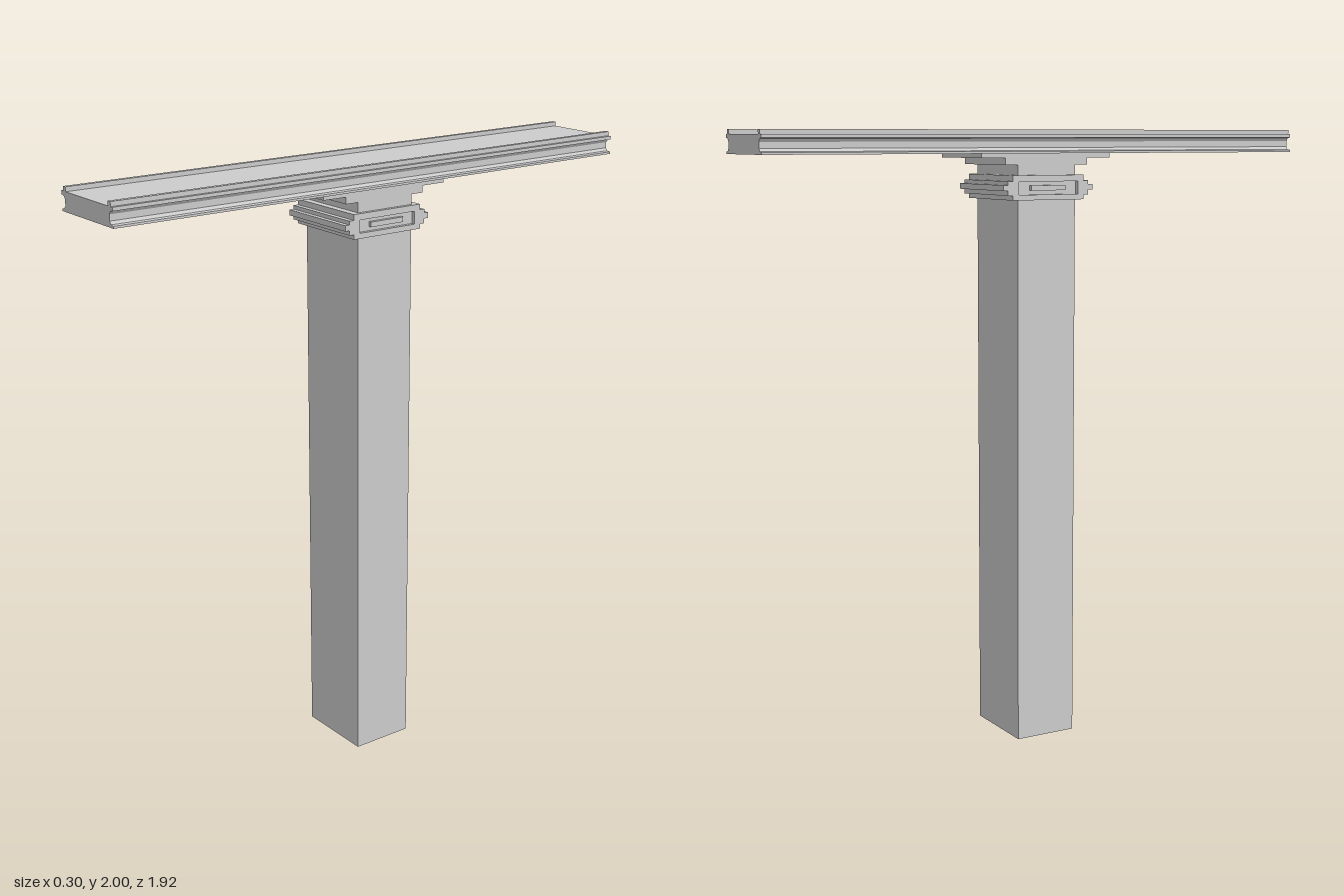
import * as THREE from 'three';

const material = new THREE.MeshStandardMaterial({ color: 0xcccccc, flatShading: true });

// Mirrors half of an outline across the vertical axis into a closed shape
function mirroredShape(half) {
  const left = half.map(([u, v]) => [-u, v]).reverse();
  return new THREE.Shape([...half, ...left].map(([u, v]) => new THREE.Vector2(u, v)));
}

function rectPath(w, y0, y1) {
  return new THREE.Path([[-w, y0], [-w, y1], [w, y1], [w, y0]].map(([u, v]) => new THREE.Vector2(u, v)));
}

// Extrudes a shape centred on its depth
function extrude(shape, depth) {
  return new THREE.ExtrudeGeometry(shape, { depth, bevelEnabled: false }).translate(0, 0, -depth / 2);
}

export function createModel() {
  const model = new THREE.Group();
  const add = (name, geometry) => {
    const mesh = new THREE.Mesh(geometry, material);
    mesh.name = name;
    model.add(mesh);
    return mesh;
  };
  const box = (name, w, y0, y1, d) =>
    add(name, new THREE.BoxGeometry(w, y1 - y0, d).translate(0, (y0 + y1) / 2, 0));

  // Rectangular post, running up through the collar
  box('post', 0.27, 0, 1.895, 0.21);

  // Stepped bracket under the deck
  box('bracketLowerStep', 0.27, 1.89, 1.912, 0.3);
  box('bracketUpperStep', 0.27, 1.912, 1.926, 0.47);

  // Collar core, stepped outwards at the front and back
  const collarHalf = [
    [0.13, 1.78], [0.13, 1.795], [0.147, 1.795], [0.147, 1.81], [0.163, 1.81],
    [0.163, 1.828], [0.147, 1.828], [0.147, 1.84], [0.13, 1.84], [0.13, 1.858],
  ];
  const core = extrude(mirroredShape(collarHalf), 0.27).rotateY(Math.PI / 2);
  add('collarCore', core);

  // Side frames with a sunken panel and a raised bar in the middle
  for (const side of [-1, 1]) {
    const frame = mirroredShape(collarHalf);
    frame.holes.push(rectPath(0.108, 1.797, 1.838));
    add('collarFrame', extrude(frame, 0.013).rotateY(Math.PI / 2).translate(side * 0.1415, 0, 0));
    const bar = box('collarBar', 0.013, 1.81, 1.826, 0.126);
    bar.position.x = side * 0.1405;
  }

  // Long deck with grooved edges and a raised lip along each side
  const deckHalf = [
    [0.148, 1.926], [0.148, 1.933], [0.135, 1.935], [0.128, 1.944], [0.128, 1.963],
    [0.135, 1.973], [0.148, 1.975], [0.148, 1.986], [0.137, 1.986], [0.137, 2],
    [0.122, 2], [0.122, 1.986],
  ];
  add('deck', extrude(mirroredShape(deckHalf), 1.92));

  return model;
}
